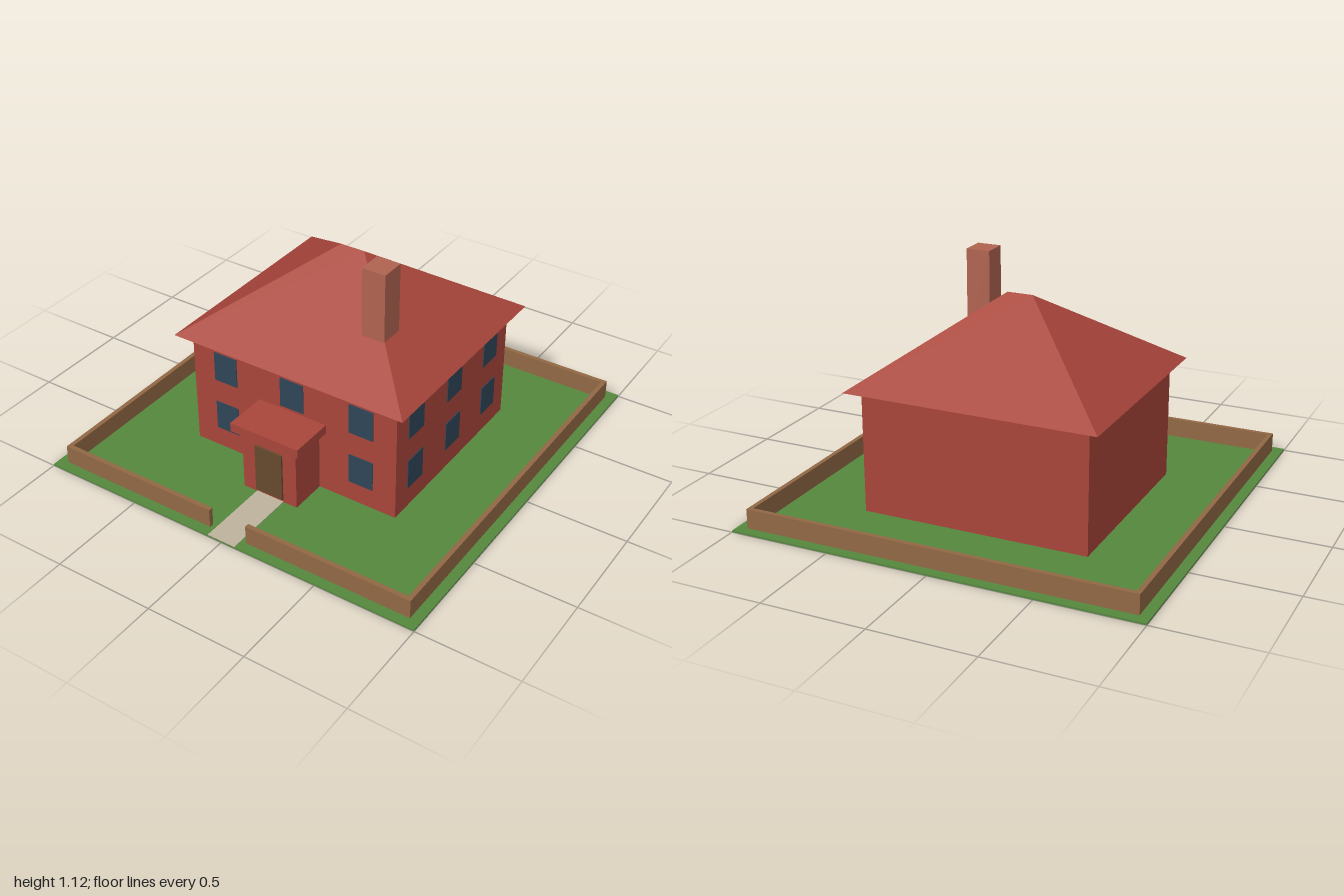
import * as THREE from 'three';

const mat = (name, color) => {
  const m = new THREE.MeshStandardMaterial({ color });
  m.name = name;
  return m;
};

export function createModel() {
  const brick = mat('redBrick', 0xa8453a);
  const chimneyBrick = mat('chimneyBrick', 0xb06350);
  const glass = mat('darkGlass', 0x2f4558);
  const wood = mat('doorWood', 0x66492e);
  const stone = mat('gardenWallBrown', 0x916844);
  const grass = mat('grass', 0x55873e);
  const paving = mat('paving', 0xbdb29c);

  const model = new THREE.Group();
  model.name = 'house';

  // Box given by its extents along each axis
  const box = (name, material, [x0, x1], [y0, y1], [z0, z1], parent = model) => {
    const mesh = new THREE.Mesh(new THREE.BoxGeometry(x1 - x0, y1 - y0, z1 - z0), material);
    mesh.position.set((x0 + x1) / 2, (y0 + y1) / 2, (z0 + z1) / 2);
    mesh.name = name;
    parent.add(mesh);
    return mesh;
  };

  // Plot and path
  box('lawn', grass, [-1, 1], [0, 0.008], [-1, 1]);
  box('path', paving, [-0.074, 0.074], [0.004, 0.011], [0.62, 1]);

  // Low garden wall with a gateway at the front
  const gardenWall = new THREE.Group();
  gardenWall.name = 'gardenWall';
  model.add(gardenWall);
  const out = 0.95, inn = 0.927, wallY = [0.004, 0.103];
  box('backGardenWall', stone, [-out, out], wallY, [-out, -inn], gardenWall);
  for (const s of [-1, 1]) {
    const span = (a, b) => [Math.min(s * a, s * b), Math.max(s * a, s * b)];
    box('sideGardenWall', stone, span(inn, out), wallY, [-inn, out], gardenWall);
    box('frontGardenWall', stone, span(0.1, inn), wallY, [inn, out], gardenWall);
  }

  // House body
  box('houseWalls', brick, [-0.56, 0.56], [0.004, 0.605], [-0.56, 0.44]);

  // Hipped roof: a box whose top is drawn in to a short ridge
  const roofGeometry = new THREE.BoxGeometry(1.244, 0.396, 1.124);
  const p = roofGeometry.attributes.position;
  for (let i = 0; i < p.count; i++) {
    if (p.getY(i) > 0) {
      p.setX(i, Math.sign(p.getX(i)) * 0.063);
      p.setZ(i, 0);
    }
  }
  roofGeometry.computeVertexNormals();
  const roof = new THREE.Mesh(roofGeometry, brick);
  roof.position.set(0, 0.802, -0.062);
  roof.name = 'roof';
  model.add(roof);

  box('chimney', chimneyBrick, [0.25, 0.37], [0.65, 1.125], [0.127, 0.25]);

  // Porch with its flat canopy and door
  box('porch', brick, [-0.148, 0.148], [0.004, 0.33], [0.43, 0.627]);
  box('porchCanopy', brick, [-0.185, 0.185], [0.33, 0.375], [0.43, 0.664]);
  box('door', wood, [-0.074, 0.074], [0.025, 0.277], [0.627, 0.636]);

  // Windows on the front and on the chimney side
  const windows = new THREE.Group();
  windows.name = 'windows';
  model.add(windows);
  for (const y of [0.19, 0.467]) {
    for (const c of [-0.375, 0, 0.375]) {
      const high = [y - 0.077, y + 0.077];
      const wide = (m) => [m - 0.064, m + 0.064];
      if (c !== 0 || y > 0.3) box('frontWindow', glass, wide(c), high, [0.438, 0.444], windows);
      box('sideWindow', glass, [0.558, 0.564], high, wide(c * 0.9 - 0.062 + c * 0.0), windows);
    }
  }
  return model;
}
